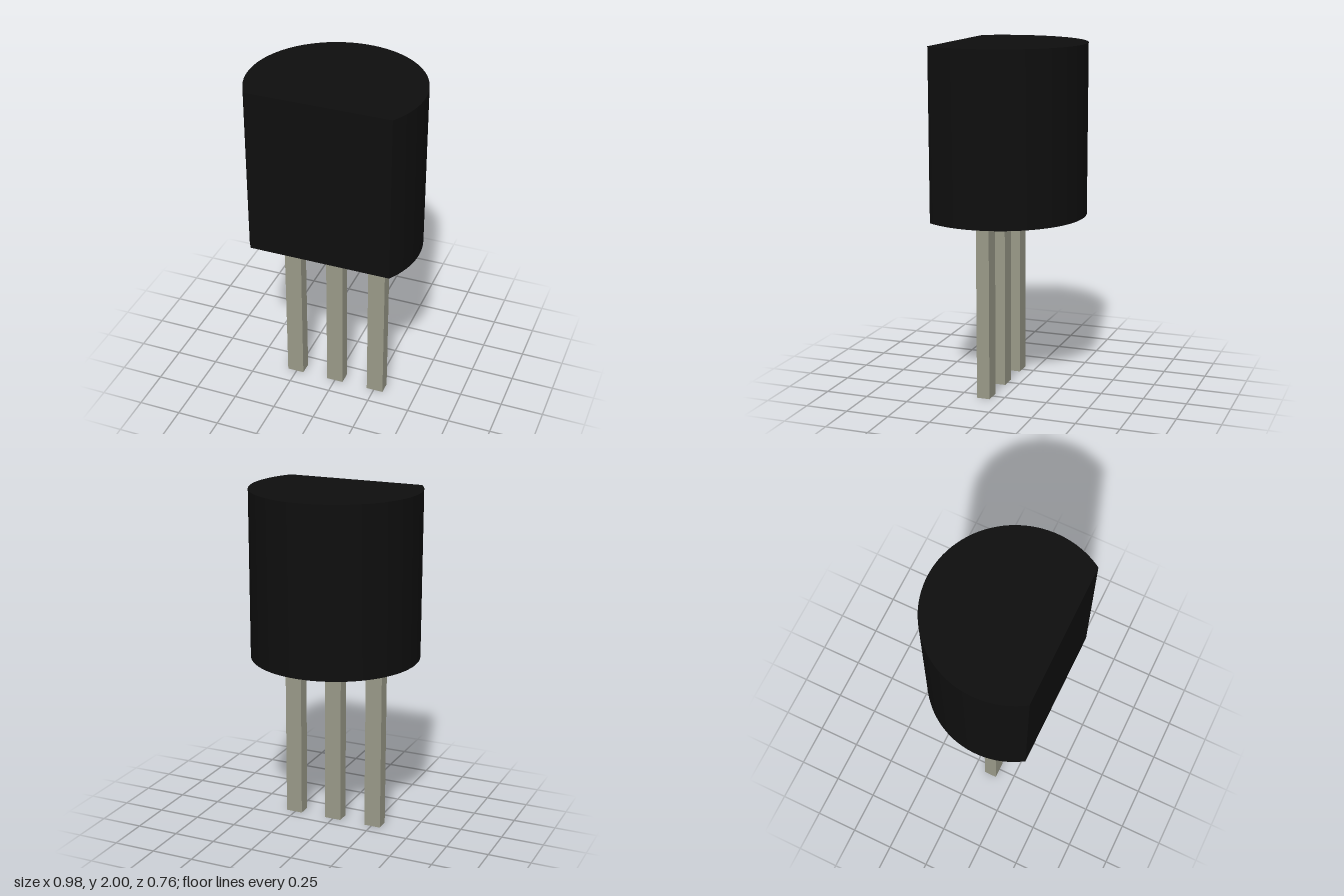
import * as THREE from 'three';
import { toCreasedNormals } from 'three/addons/utils/BufferGeometryUtils.js';

const RADIUS = 0.49, CENTRE_Z = 0.11, FRONT_Z = 0.38;
const BODY_BOTTOM = 1.025, TOP = 2;

export function createModel() {
  const group = new THREE.Group();
  const black = new THREE.MeshStandardMaterial({ name: 'black plastic', color: 0x0e0e0e });
  const metal = new THREE.MeshStandardMaterial({ name: 'dull metal', color: 0x999988 });

  // Body: a cylinder cut flat at the front, drawn in plan and extruded upwards
  const cut = Math.asin((FRONT_Z - CENTRE_Z) / RADIUS);
  const plan = new THREE.Shape();
  plan.absarc(0, -CENTRE_Z, RADIUS, -cut, Math.PI + cut, false);
  plan.closePath();
  const bodyGeometry = new THREE.ExtrudeGeometry(plan, {
    depth: TOP - BODY_BOTTOM, bevelEnabled: false, curveSegments: 32,
  });
  bodyGeometry.rotateX(-Math.PI / 2).translate(0, BODY_BOTTOM, 0);
  const body = new THREE.Mesh(toCreasedNormals(bodyGeometry, 0.5), black);
  body.name = 'body';
  group.add(body);

  // Three straight square-edged legs
  const legGeometry = new THREE.BoxGeometry(0.1, BODY_BOTTOM, 0.076);
  ['rightLeg', 'middleLeg', 'leftLeg'].forEach((name, i) => {
    const leg = new THREE.Mesh(legGeometry, metal);
    leg.name = name;
    leg.position.set((i - 1) * 0.256, BODY_BOTTOM / 2, CENTRE_Z);
    group.add(leg);
  });

  return group;
}
